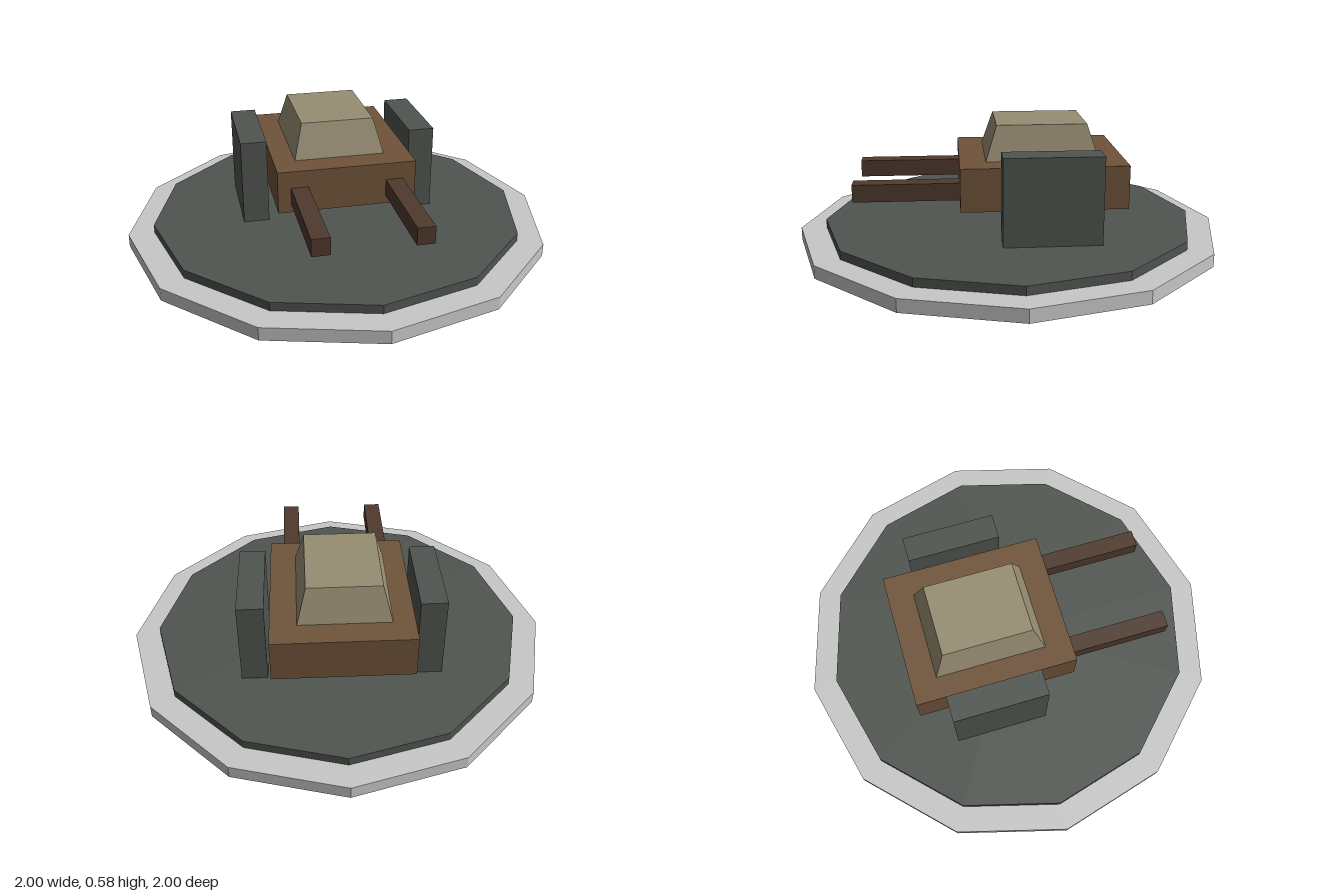
import * as THREE from 'three';

const material = (name, color) => {
  const m = new THREE.MeshStandardMaterial({ color, flatShading: true });
  m.name = name;
  return m;
};

export function createModel() {
  const lightGrey = material('light grey', 0xc8c8c8);
  const darkGrey = material('dark grey green', 0x505550);
  const brown = material('brown', 0x70543a);
  const darkBrown = material('dark brown', 0x4f392c);
  const tan = material('tan', 0x978d73);

  const group = new THREE.Group();
  group.name = 'gunTurret';

  const add = (name, geometry, mat, x, y, z) => {
    const mesh = new THREE.Mesh(geometry, mat);
    mesh.name = name;
    mesh.position.set(x, y, z);
    group.add(mesh);
    return mesh;
  };

  // Twelve-sided base and the platform on it
  add('base', new THREE.CylinderGeometry(1, 1, 0.06, 12), lightGrey, 0, 0.03, 0);
  add('platform', new THREE.CylinderGeometry(0.88, 0.88, 0.04, 12), darkGrey, 0, 0.08, 0);

  // Gun housing
  add('housing', new THREE.BoxGeometry(0.64, 0.2, 0.76), brown, 0, 0.32, -0.14);

  // Tapered cap: a box with its top corners drawn in
  const cap = new THREE.BoxGeometry(0.42, 0.16, 0.52);
  const p = cap.attributes.position;
  for (let i = 0; i < p.count; i++) {
    if (p.getY(i) > 0) p.setXYZ(i, p.getX(i) * 0.8, p.getY(i), p.getZ(i) * 0.8);
  }
  cap.computeVertexNormals();
  add('cap', cap, tan, -0.01, 0.5, -0.14);

  // Mirrored side supports and barrels
  for (const [side, s] of [['left', 1], ['right', -1]]) {
    add(side + 'Support', new THREE.BoxGeometry(0.12, 0.4, 0.44), darkGrey, s * 0.4, 0.3, -0.16);
    add(side + 'Barrel', new THREE.BoxGeometry(0.08, 0.08, 0.48), darkBrown, s * 0.22, 0.3, 0.48);
  }

  return group;
}
